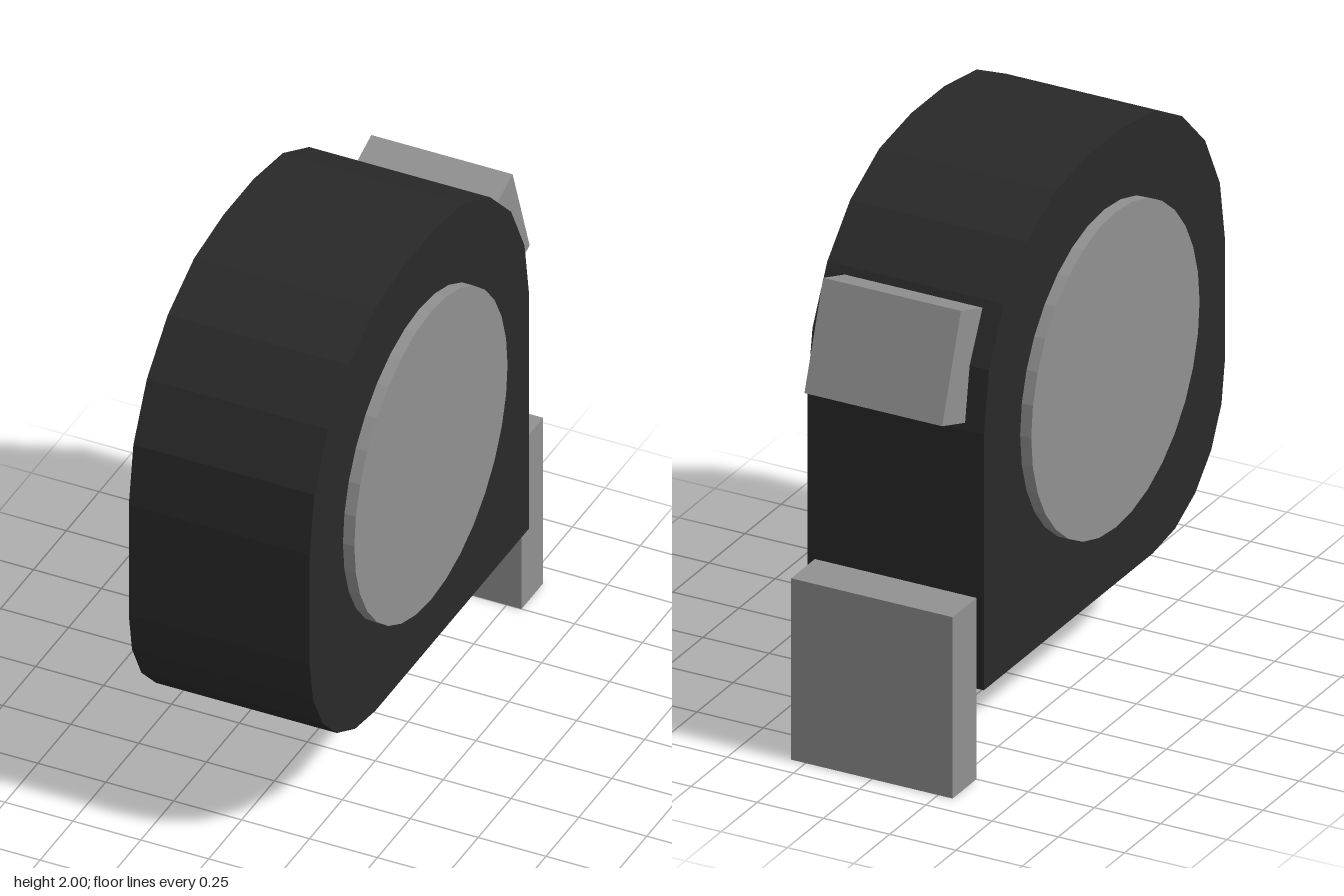
import * as THREE from 'three';

const grey = new THREE.MeshStandardMaterial({ color: 0x919191, flatShading: true });
const dark = new THREE.MeshStandardMaterial({ color: 0x292929, flatShading: true });

function addMesh(group, name, geometry, material, x, y, z) {
  const mesh = new THREE.Mesh(geometry, material);
  mesh.name = name;
  mesh.position.set(x, y, z);
  group.add(mesh);
  return mesh;
}

// quarter-round corner in five straight steps
function corner(cz, cy, r, startAngle) {
  return Array.from({ length: 6 }, (_, i) => {
    const a = startAngle + (i / 5) * (Math.PI / 2);
    return new THREE.Vector2(cz + r * Math.cos(a), cy + r * Math.sin(a));
  });
}

export function createModel() {
  const model = new THREE.Group();
  model.name = 'tapeMeasure';

  // case: side profile (z, y) with one square corner, extruded across x
  const width = 0.666;
  const profile = new THREE.Shape([
    new THREE.Vector2(-0.75, 0.335),
    ...corner(0.42, 0.835, 0.5, -Math.PI / 2),
    ...corner(0.2, 1.28, 0.72, 0),
    ...corner(-0.03, 1.28, 0.72, Math.PI / 2),
  ]);
  const caseGeometry = new THREE.ExtrudeGeometry(profile, { depth: width, bevelEnabled: false });
  caseGeometry.translate(0, 0, -width / 2).rotateY(-Math.PI / 2);
  addMesh(model, 'case', caseGeometry, dark, 0, 0, 0);

  // raised round plate on each side
  for (const side of [1, -1]) {
    const plate = new THREE.CylinderGeometry(0.583, 0.583, 0.075, 32).rotateZ(Math.PI / 2);
    addMesh(model, side > 0 ? 'leftPlate' : 'rightPlate', plate, grey, side * 0.3375, 1.168, 0.084);
  }

  // tilted lock button, sunk into the case
  const button = addMesh(model, 'lockButton', new THREE.BoxGeometry(0.52, 0.392, 0.25), grey, 0, 1.504, -0.722);
  button.rotation.x = 0.338;

  // end hook hanging below the case
  addMesh(model, 'endHook', new THREE.BoxGeometry(0.61, 0.67, 0.165), grey, 0, 0.335, -0.8325);

  return model;
}
